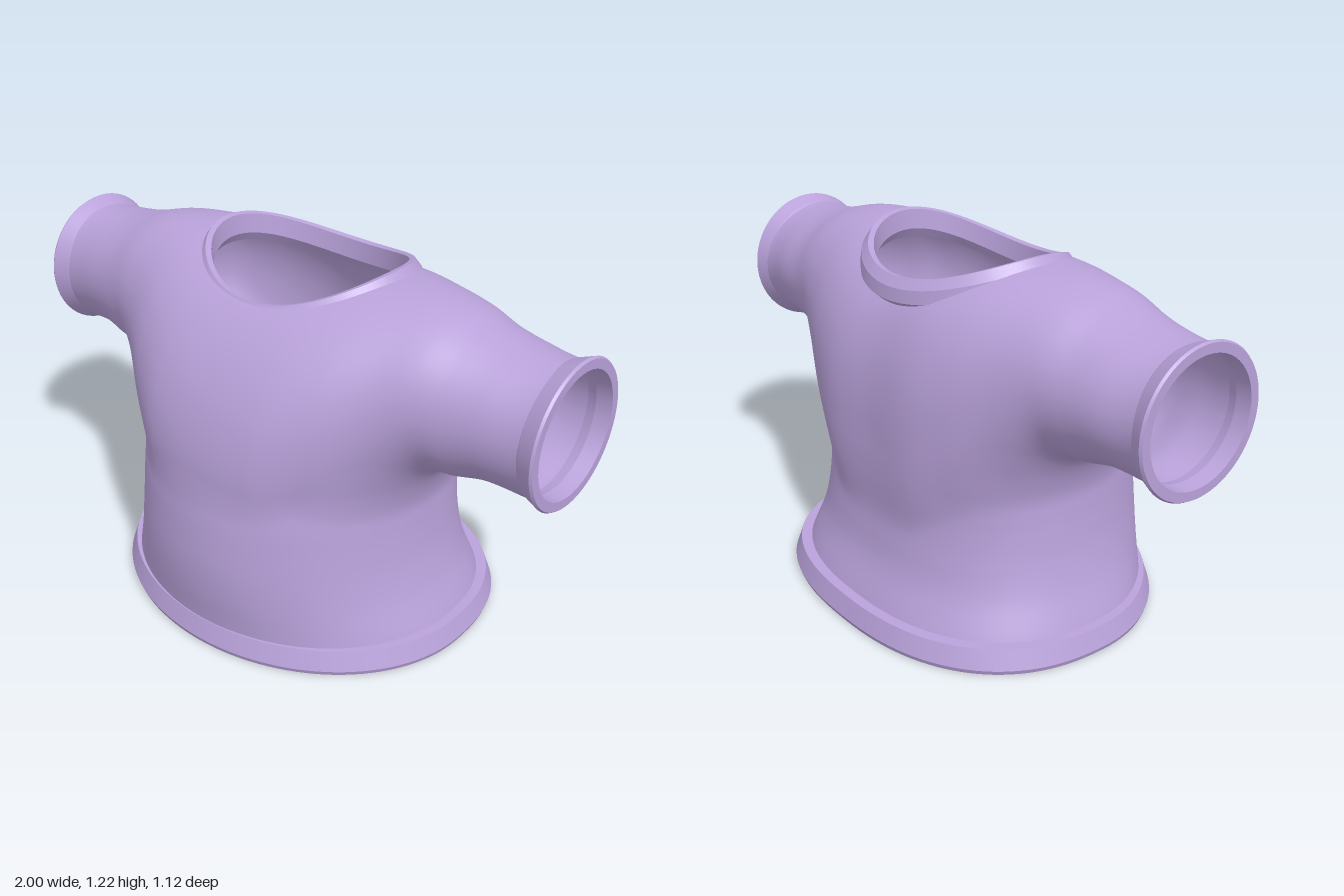
import * as THREE from 'three';
import { mergeVertices } from 'three/addons/utils/BufferGeometryUtils.js';

// Smooth interpolation of rows [t, a, b, ...]
function sampler(rows) {
  const slope = (i, c) => (i <= 0 || i >= rows.length - 1) ? 0
    : (rows[i + 1][c] - rows[i - 1][c]) / (rows[i + 1][0] - rows[i - 1][0]);
  return (t) => {
    t = THREE.MathUtils.clamp(t, rows[0][0], rows[rows.length - 1][0]);
    let i = 0;
    while (i < rows.length - 2 && t > rows[i + 1][0]) i++;
    const p = rows[i], q = rows[i + 1], d = q[0] - p[0], s = (t - p[0]) / d;
    const s2 = s * s, s3 = s2 * s;
    return p.slice(1).map((v, j) => v * (2 * s3 - 3 * s2 + 1) + q[j + 1] * (3 * s2 - 2 * s3)
      + slope(i, j + 1) * d * (s3 - 2 * s2 + s) + slope(i + 1, j + 1) * d * (s3 - s2));
  };
}

// Trunk sections by height: half width, front depth, back depth
const trunk = sampler([
  [0, .645, .53, .53], [.08, .62, .535, .5], [.2, .575, .55, .45], [.3, .55, .555, .43],
  [.4, .537, .55, .42], [.5, .53, .54, .422], [.6, .525, .52, .42], [.75, .5, .47, .39],
  [.9, .4, .36, .3], [1.05, .2, .2, .18],
]);
// Shoulder and sleeve sections by |x|: centre height, half height, front, back, back exponent
const yoke = sampler([
  [0, .6, .6, .53, .43, 2.5], [.2, .65, .55, .5, .43, 2.5], [.35, .75, .452, .42, .39, 2.4],
  [.5, .865, .33, .315, .325, 2.2], [.6, .92, .26, .265, .285, 2.1], [.7, .917, .235, .235, .26, 2],
  [.8, .918, .213, .215, .245, 2], [.94, .91, .21, .2, .225, 2],
]);

// Radial distance of (u, v) from a superellipse with half axes a, b
function radial(u, v, a, b, n) {
  const r = Math.hypot(u, v) + 1e-6;
  const rho = Math.pow(Math.pow(Math.abs(u) / a, n) + Math.pow(Math.abs(v) / b, n), 1 / n) + 1e-6;
  return r - r / rho;
}

// Body field: trunk blended into the sleeves, softest under the arms
function field(x, y, z) {
  const [w, f, b] = trunk(y);
  const t = radial(x, z, w, z > 0 ? f : b, z > 0 ? 2 : 2.4);
  const [c, h, yf, yb, n] = yoke(Math.abs(x));
  const s = radial(y - c, z, h, z > 0 ? yf : yb, z > 0 ? 2 : n);
  const k = .02 + .08 * THREE.MathUtils.smoothstep(Math.abs(x), .3, .55);
  const m = Math.max(k - Math.abs(t - s), 0) / k;
  return Math.min(t, s) - m * m * k / 4;
}
function gradient(x, y, z) {
  const e = .003;
  return new THREE.Vector3(
    field(x + e, y, z) - field(x - e, y, z),
    field(x, y + e, z) - field(x, y - e, z),
    field(x, y, z + e) - field(x, y, z - e)).divideScalar(2 * e);
}

// Neck opening
const NECK = { rx: .35, rz: .29, z: -.025 };

// Trims a point to the hem, cuffs and neck opening; true when it lay beyond them
function trim(p) {
  let out = false;
  if (p.y < .04) { p.y = .04; out = true; }
  if (Math.abs(p.x) > .97) { p.x = .97 * Math.sign(p.x); out = true; }
  const r = Math.hypot(p.x / (NECK.rx + .005), (p.z - NECK.z) / (NECK.rz + .005));
  if (p.y > .95 && r < 1) {
    out = true;
    if (r > .5) {
      p.x /= r;
      p.z = NECK.z + (p.z - NECK.z) / r;
      for (let i = 0; i < 3; i++) {
        p.y -= field(p.x, p.y, p.z) / Math.max(.4, gradient(p.x, p.y, p.z).y);
      }
    }
  }
  return out;
}

// Skin of the field, meshed on a regular grid with open ends
function bodyGeometry() {
  const S = .02, O = [-1.03, -.05, -.63], N = [104, 68, 64];
  const id = (i, j, k) => (i * N[1] + j) * N[2] + k;
  const at = (c) => c.map((v, a) => O[a] + v * S);
  const val = new Float32Array(N[0] * N[1] * N[2]);
  const each = (fn) => {
    for (let i = 0; i < N[0]; i++)
      for (let j = 0; j < N[1]; j++)
        for (let k = 0; k < N[2]; k++) fn([i, j, k]);
  };
  each((c) => { val[id(...c)] = field(...at(c)); });

  // One vertex per crossed cell, pulled onto the surface
  const cell = new Map(), pos = [], nor = [], beyond = [];
  each((c) => {
    if (c.some((v, a) => v >= N[a] - 1)) return;
    let inside = 0;
    for (let q = 0; q < 8; q++) {
      if (val[id(c[0] + (q & 1), c[1] + (q >> 1 & 1), c[2] + (q >> 2))] < 0) inside++;
    }
    if (inside === 0 || inside === 8) return;
    const p = new THREE.Vector3(...at(c)).addScalar(S / 2);
    for (let s = 0; s < 4; s++) {
      const g = gradient(p.x, p.y, p.z);
      const step = -field(p.x, p.y, p.z) / Math.max(g.lengthSq(), .2);
      p.add(g.multiplyScalar(step).clampLength(0, S));
    }
    beyond.push(trim(p));
    cell.set(id(...c), beyond.length - 1);
    pos.push(p.x, p.y, p.z);
    nor.push(...gradient(p.x, p.y, p.z).normalize().toArray());
  });

  // One quad per crossed grid edge
  const index = [];
  each((c) => {
    for (let a = 0; a < 3; a++) {
      const b = (a + 1) % 3, d = (a + 2) % 3, e = [...c];
      e[a]++;
      if (e[a] >= N[a] || c[b] < 1 || c[d] < 1) continue;
      const from = val[id(...c)] < 0;
      if (from === val[id(...e)] < 0) continue;
      const quad = [[-1, -1], [0, -1], [0, 0], [-1, 0]].map(([u, v]) => {
        const n = [...c];
        n[b] += u;
        n[d] += v;
        return cell.get(id(...n));
      });
      if (quad.some((v) => v === undefined) || quad.every((v) => beyond[v])) continue;
      if (!from) quad.reverse();
      index.push(quad[0], quad[1], quad[2], quad[0], quad[2], quad[3]);
    }
  });
  const geo = new THREE.BufferGeometry();
  geo.setAttribute('position', new THREE.Float32BufferAttribute(pos, 3));
  geo.setAttribute('normal', new THREE.Float32BufferAttribute(nor, 3));
  geo.setIndex(index);
  return mergeVertices(geo.toNonIndexed(), 1e-5);
}

// Closed band: a section of [offset, height] points swept round, with sharp section corners
function band(section, place, segments = 128) {
  const pos = [], index = [];
  section.forEach((p, s) => {
    const base = pos.length / 3;
    for (let i = 0; i < segments; i++) {
      const t = i / segments * Math.PI * 2;
      pos.push(...place(t, ...p), ...place(t, ...section[(s + 1) % section.length]));
      const a = base + i * 2, b = base + (i + 1) % segments * 2;
      index.push(a, b, a + 1, b, b + 1, a + 1);
    }
  });
  const geo = new THREE.BufferGeometry();
  geo.setAttribute('position', new THREE.Float32BufferAttribute(pos, 3));
  geo.setIndex(index);
  geo.computeVertexNormals();
  return geo;
}

export function createModel() {
  const group = new THREE.Group();
  const cloth = new THREE.MeshStandardMaterial({ color: 0xb9a2da, side: THREE.DoubleSide });
  cloth.name = 'lavender cloth';
  const add = (name, geo) => {
    const mesh = new THREE.Mesh(geo, cloth);
    mesh.name = name;
    group.add(mesh);
    return mesh;
  };

  add('shirtBody', bodyGeometry());

  // Flared hem
  const power = (v, n) => Math.sign(v) * Math.pow(Math.abs(v), 2 / n);
  add('hemBand', band(
    [[.005, .08], [.027, .015], [.022, 0], [-.008, 0], [-.035, .03], [-.03, .08]],
    (t, o, y) => {
      const n = Math.sin(t) > 0 ? 2 : 2.4;
      return [(.645 + o) * power(Math.cos(t), n), y, (.533 + o) * power(Math.sin(t), n)];
    }));

  // Collar, highest on the shoulders and dipping front and back
  add('collar', band(
    [[-.015, -.004], [.003, 0], [.026, -.03], [.032, -.072], [0, -.1], [-.02, -.07]],
    (t, o, y) => {
      const s = Math.sin(t);
      return [(NECK.rx + o) * Math.cos(t), 1.224 - (s > 0 ? .104 : .086) * s * s + y,
        NECK.z + (NECK.rz + o) * s];
    }));

  // Flared cuffs, mirrored
  for (const side of [1, -1]) {
    add(side > 0 ? 'leftCuff' : 'rightCuff', band(
      [[.198, 1], [.228, 1], [.233, .992], [.212, .94], [.2, .92], [.193, .95]],
      (t, r, x) => [side * x, .91 + r * Math.cos(t), -.01 - side * r * Math.sin(t)]));
  }
  return group;
}
